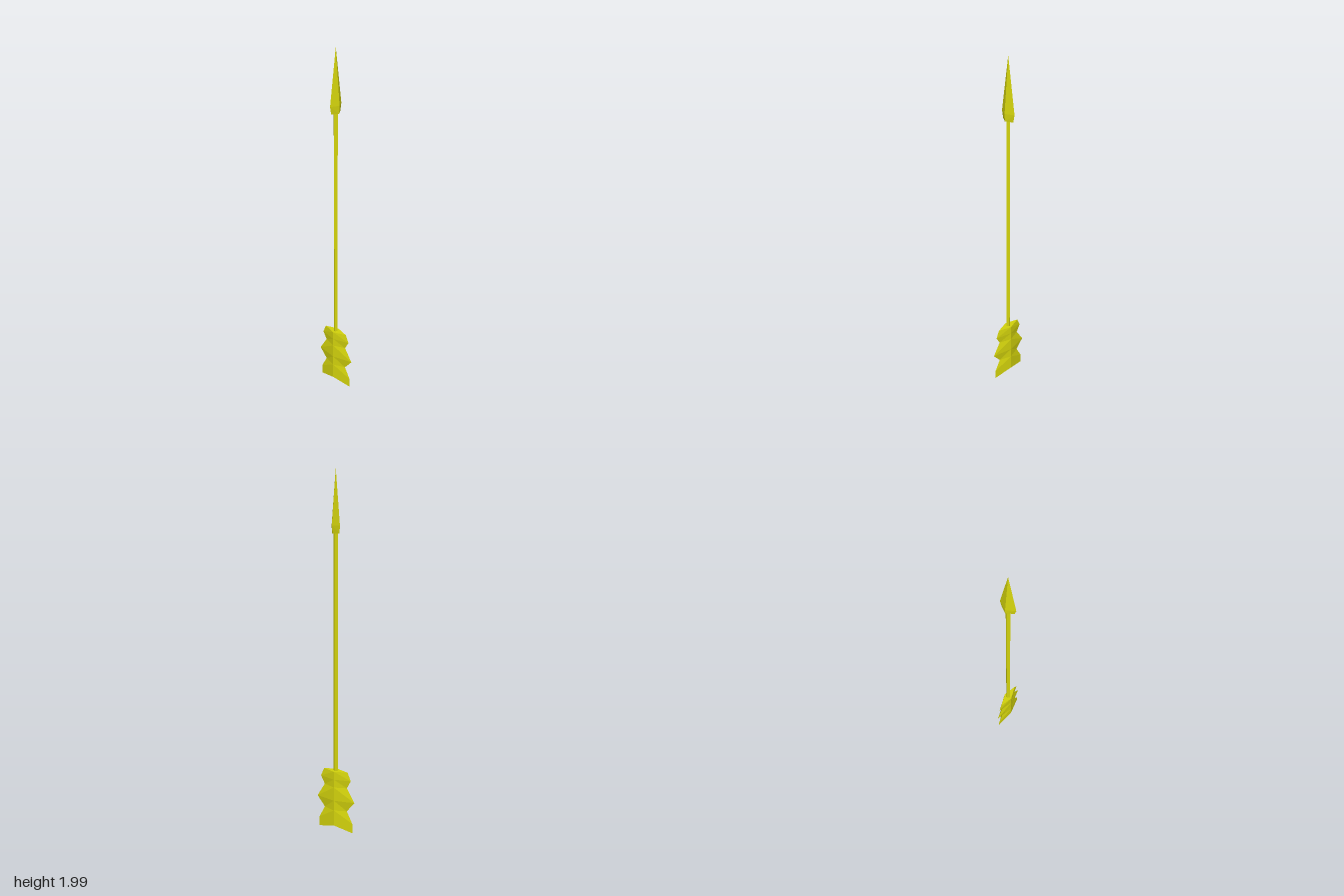
import * as THREE from 'three';

// Lofts diamond cross-sections, listed from bottom to top.
// Each section: [ridgeY, halfWidthX, edgeY, halfWidthZ]
function diamondLoft(sections) {
  const rings = sections.map(([ry, x, ey, z]) => [
    [x, ry, 0], [0, ey, z], [-x, ry, 0], [0, ey, -z],
  ]);
  const pos = [];
  const tri = (a, b, c) => pos.push(...a, ...b, ...c);
  for (let i = 0; i < rings.length - 1; i++) {
    const lo = rings[i], hi = rings[i + 1];
    for (let j = 0; j < 4; j++) {
      const k = (j + 1) % 4;
      if (j % 2 === 0) { // mirrored diagonals keep the faces symmetric
        tri(lo[k], lo[j], hi[j]);
        tri(lo[k], hi[j], hi[k]);
      } else {
        tri(lo[k], lo[j], hi[k]);
        tri(lo[j], hi[j], hi[k]);
      }
    }
  }
  // end caps, folded along the x axis
  const b = rings[0], t = rings[rings.length - 1];
  tri(b[0], b[1], b[2]);
  tri(b[0], b[2], b[3]);
  tri(t[0], t[3], t[2]);
  tri(t[0], t[2], t[1]);
  const geo = new THREE.BufferGeometry();
  geo.setAttribute('position', new THREE.Float32BufferAttribute(pos, 3));
  geo.computeVertexNormals();
  return geo;
}

export function createModel() {
  const group = new THREE.Group();
  group.name = 'arrow';
  const yellow = new THREE.MeshStandardMaterial({ color: 0xd2d20c, flatShading: true });
  yellow.name = 'olive yellow';

  const add = (name, geo) => {
    const mesh = new THREE.Mesh(geo, yellow);
    mesh.name = name;
    group.add(mesh);
    return mesh;
  };

  // pointed head with a short bevel at its base
  add('arrowHead', diamondLoft([
    [1.675, 0.036, 1.675, 0.022],
    [1.715, 0.044, 1.715, 0.024],
    [1.995, 0.0004, 1.995, 0.0004],
  ]));

  // four-sided shaft with its edges on the axes
  const shaft = add('shaft', new THREE.CylinderGeometry(0.013, 0.013, 1.5, 4));
  shaft.position.y = 0.95;

  // fletching with a zigzag outline and a notched tail
  const ridge = 0.024;
  add('fletching', diamondLoft([
    [0.037, ridge, 0.003, 0.106],
    [0.06, ridge, 0.06, 0.105],
    [0.13, ridge, 0.13, 0.07],
    [0.19, ridge, 0.19, 0.117],
    [0.27, ridge, 0.27, 0.07],
    [0.317, ridge, 0.317, 0.094],
    [0.365, ridge, 0.365, 0.074],
  ]));

  return group;
}
